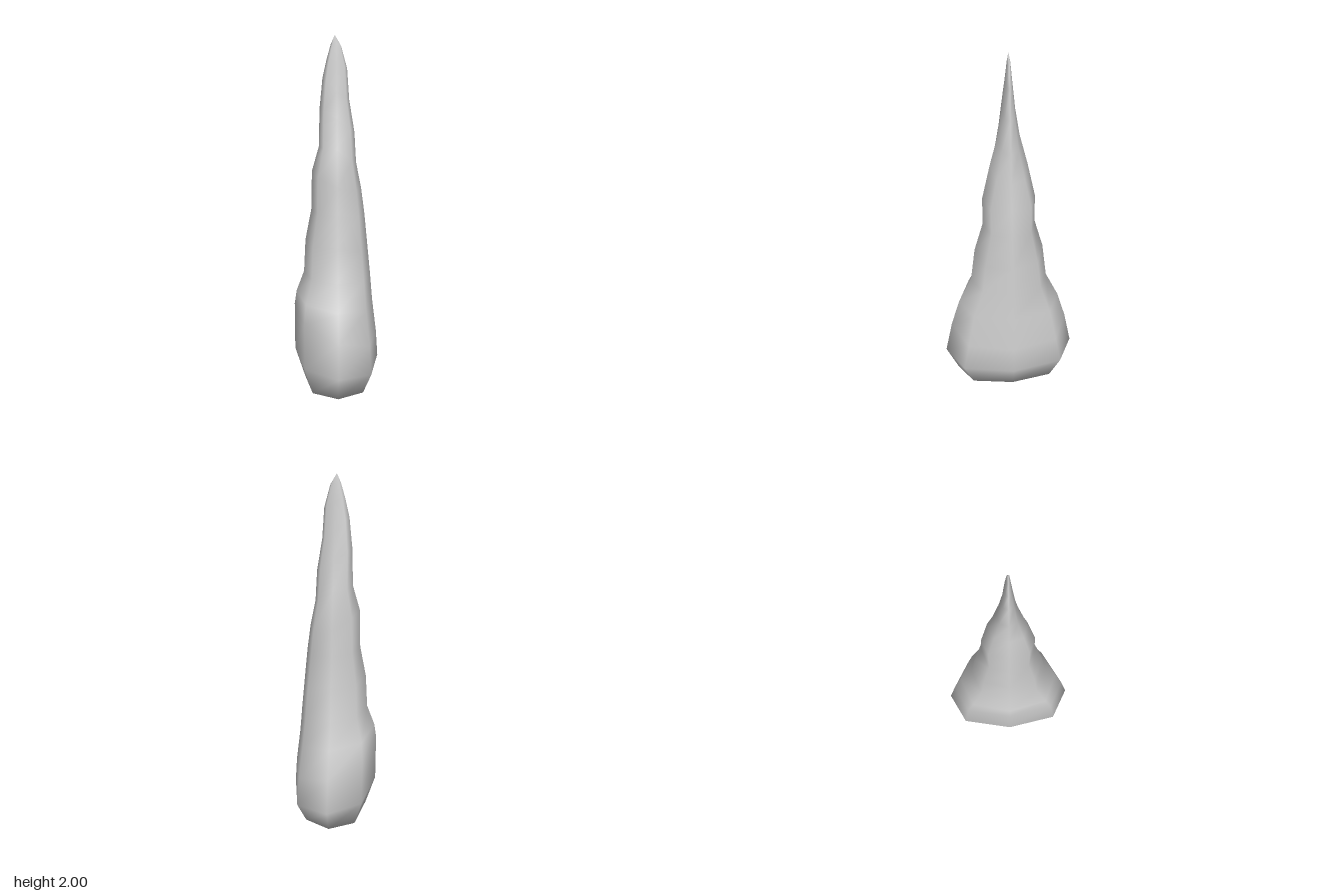
import * as THREE from 'three';

// Each ring: right-hand, left-hand and front/back profile points as
// [-x reach, its height, +x reach, its height, z reach, its height]
const RINGS = [
  [0.19, 0, 0.19, 0, 0.315, 0],
  [0.247, 0.18, 0.245, 0.13, 0.39, 0.15],
  [0.247, 0.46, 0.235, 0.28, 0.35, 0.34],
  [0.235, 0.54, 0.21, 0.48, 0.3, 0.5],
  [0.19, 0.66, 0.195, 0.65, 0.225, 0.65],
  [0.18, 0.85, 0.18, 0.8, 0.2, 0.85],
  [0.145, 1.03, 0.16, 1.0, 0.15, 1.02],
  [0.14, 1.25, 0.14, 1.15, 0.15, 1.18],
  [0.1, 1.39, 0.11, 1.3, 0.105, 1.38],
  [0.095, 1.6, 0.1, 1.47, 0.06, 1.55],
  [0.078, 1.77, 0.07, 1.65, 0.035, 1.7],
  [0.055, 1.87, 0.058, 1.82, 0.018, 1.86],
  [0.032, 1.95, 0.025, 1.94, 0.009, 1.95],
];

// Unit octagon, as fractions of the x and z reach
const SECTION = [
  [1, 0], [0.76, 0.75], [0, 1], [-0.76, 0.75],
  [-1, 0], [-0.76, -0.75], [0, -1], [0.76, -0.75],
];

function spikeGeometry() {
  const pos = [], index = [], n = SECTION.length;
  for (const [xNeg, yNeg, xPos, yPos, zr, yz] of RINGS) {
    for (const [u, v] of SECTION) {
      const xr = u < 0 ? xNeg : xPos;
      const ySide = u < 0 ? yNeg : yPos;
      pos.push(u * xr, yz + Math.abs(u) * (ySide - yz), v * zr);
    }
  }
  const tip = pos.length / 3, base = tip + 1;
  pos.push(-0.01, 2, 0, 0, 0, 0);

  const last = (RINGS.length - 1) * n;
  for (let i = 0; i < n; i++) {
    const j = (i + 1) % n;
    // Sides
    for (let r = 0; r < last; r += n) {
      index.push(r + i, r + n + i, r + j, r + j, r + n + i, r + n + j);
    }
    // Pointed top and flat underside
    index.push(last + i, tip, last + j);
    index.push(i, j, base);
  }
  const geometry = new THREE.BufferGeometry();
  geometry.setAttribute('position', new THREE.Float32BufferAttribute(pos, 3));
  geometry.setIndex(index);
  geometry.computeVertexNormals();
  return geometry;
}

export function createModel() {
  const group = new THREE.Group();
  const spike = new THREE.Mesh(
    spikeGeometry(),
    new THREE.MeshStandardMaterial({ color: 0xcccccc })
  );
  spike.name = 'rockSpike';
  group.add(spike);
  return group;
}
